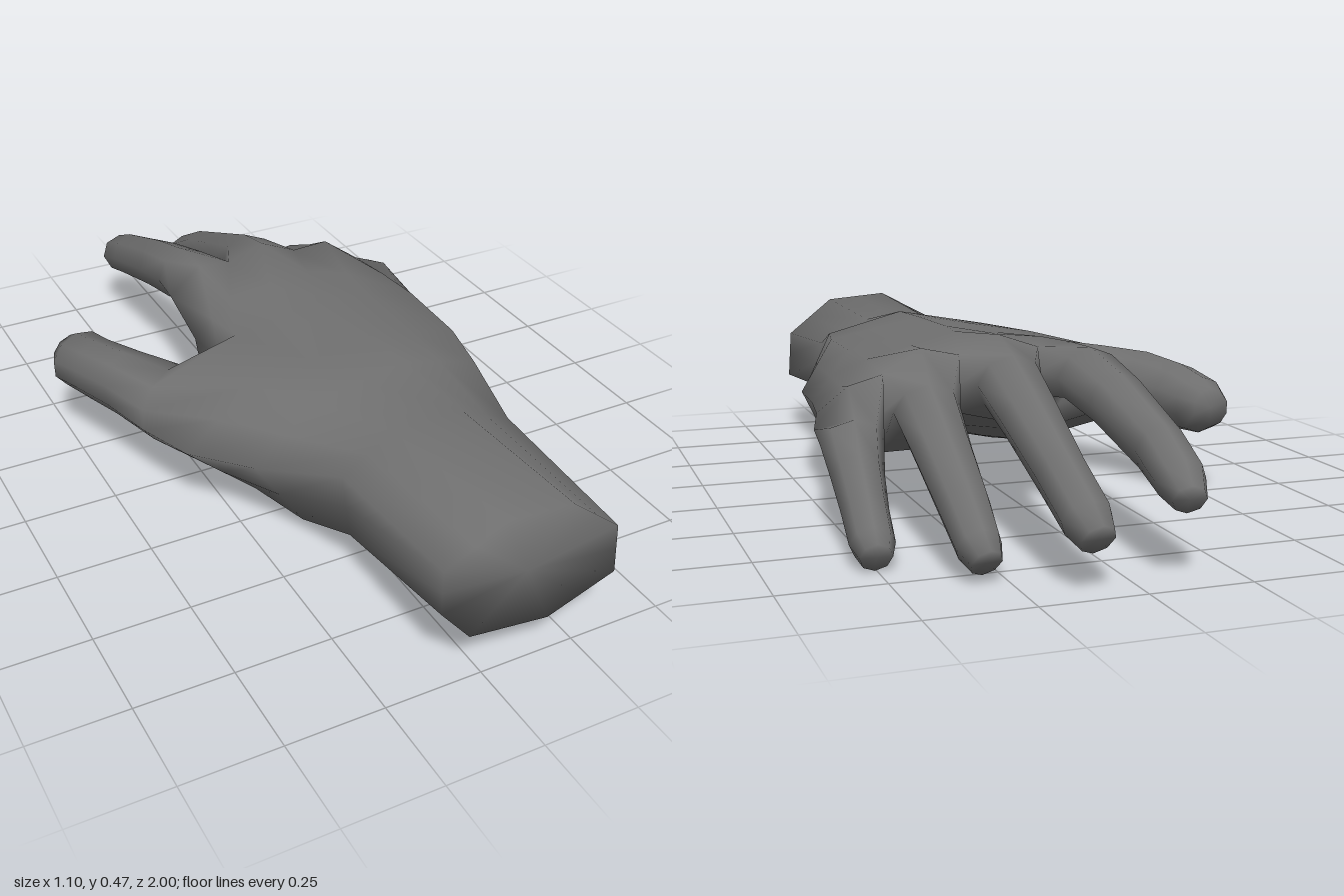
import * as THREE from 'three';

const V = (x, y, z) => new THREE.Vector3(x, y, z);

// Skins rings of Vector3; either end can be capped, and quads can be left out
function skin(rings, { capStart = false, capEnd = false, skip = () => false }) {
  const n = rings[0].length, pos = [], index = [];
  rings.forEach(r => r.forEach(p => pos.push(p.x, p.y, p.z)));
  for (let i = 0; i < rings.length - 1; i++) {
    for (let j = 0; j < n; j++) {
      if (skip(i, j)) continue;
      const a = i * n + j, b = i * n + (j + 1) % n;
      index.push(a, b, a + n, b, b + n, a + n);
    }
  }
  const cap = (i, flip) => {
    const c = V(0, 0, 0);
    rings[i].forEach(p => c.addScaledVector(p, 1 / n));
    const centre = pos.length / 3;
    pos.push(c.x, c.y, c.z);
    for (let j = 0; j < n; j++) {
      const a = i * n + j, b = i * n + (j + 1) % n;
      index.push(centre, flip ? b : a, flip ? a : b);
    }
  };
  if (capStart) cap(0, true);
  if (capEnd) cap(rings.length - 1, false);
  const g = new THREE.BufferGeometry();
  g.setAttribute('position', new THREE.Float32BufferAttribute(pos, 3));
  g.setIndex(index);
  g.computeVertexNormals();
  return g;
}

// Grows a digit from a root ring; each step is [x, y, z, halfWidth, halfHeight]
function digit(root, steps, roll = 0) {
  const pts = steps.map(s => V(s[0], s[1], s[2]));
  const rings = steps.map((s, i) => {
    const t = pts[Math.min(i + 1, pts.length - 1)].clone().sub(pts[Math.max(i - 1, 0)]).normalize();
    const side = t.clone().cross(V(0, 1, 0)).normalize();
    const up = side.clone().cross(t);
    side.applyAxisAngle(t, roll);
    up.applyAxisAngle(t, roll);
    return root.map((_, j) => {
      const a = (j / root.length) * Math.PI * 2;
      return pts[i].clone()
        .addScaledVector(side, -Math.cos(a) * s[3])
        .addScaledVector(up, Math.sin(a) * s[4]);
    });
  });
  return skin([root, ...rings], { capEnd: true });
}

// Averages normals where parts meet, so the skin shades as one surface
function weldNormals(geometries) {
  const sums = new Map();
  const each = fn => geometries.forEach(({ attributes: { position: p, normal } }) => {
    for (let i = 0; i < p.count; i++) {
      const key = [p.getX(i), p.getY(i), p.getZ(i)].map(v => Math.round(v * 1e4)).join();
      fn(key, normal, i);
    }
  });
  each((key, normal, i) => {
    if (!sums.has(key)) sums.set(key, V(0, 0, 0));
    sums.get(key).add(V(0, 0, 0).fromBufferAttribute(normal, i));
  });
  sums.forEach(s => s.normalize());
  each((key, normal, i) => normal.setXYZ(i, ...sums.get(key).toArray()));
}

// Sections: z, then x, y pairs from the thumb side over the back of the hand and under the palm
const sections = [
  [1.00, -.122, .337, .033, .42, .21, .406, .343, .30, .352, .164, .173, .096, -.04, .122, -.12, .218],
  [0.56, -.125, .30, .01, .39, .20, .395, .34, .33, .375, .21, .22, .095, .05, .105, -.10, .12],
  [0.37, -.265, .25, -.10, .395, .15, .44, .36, .385, .435, .23, .28, .047, .06, .088, -.13, .047],
  [0.22, -.38, .235, -.20, .385, .14, .443, .39, .39, .475, .25, .41, .115, .10, .115, -.19, .065],
  [0.00, -.23, .27, -.14, .40, .13, .445, .395, .393, .495, .26, .435, .148, .12, .165, -.16, .15],
  [-.14, -.195, .33, -.09, .425, .15, .45, .385, .39, .515, .26, .44, .155, .18, .21, -.08, .235],
  [-.33, -.185, .365, -.005, .43, .20, .42, .38, .375, .545, .24, .39, .18, .20, .275, -.005, .305],
];

// From the index finger to the little finger
const fingers = [
  ['indexFinger', [
    [-.098, .367, -.43, .082, .075], [-.108, .332, -.58, .073, .071], [-.115, .262, -.80, .062, .064],
    [-.112, .217, -.91, .06, .056], [-.105, .188, -.97, .04, .038]]],
  ['middleFinger', [
    [.105, .36, -.43, .082, .078], [.11, .305, -.58, .073, .071], [.12, .22, -.80, .06, .064],
    [.115, .155, -.93, .06, .056], [.11, .123, -.98, .042, .042]]],
  ['ringFinger', [
    [.303, .30, -.40, .083, .075], [.312, .238, -.54, .072, .07], [.313, .147, -.70, .062, .062],
    [.312, .08, -.80, .054, .054], [.307, .052, -.84, .038, .04]]],
  ['littleFinger', [
    [.478, .225, -.36, .077, .078], [.489, .168, -.45, .064, .07], [.496, .108, -.54, .056, .062],
    [.503, .056, -.63, .053, .052], [.505, .035, -.67, .038, .04]]],
];

const thumbSteps = [
  [-.343, .262, .02, .104, .102], [-.405, .268, -.11, .085, .096], [-.445, .26, -.22, .08, .088],
  [-.468, .25, -.315, .084, .074], [-.475, .25, -.36, .055, .05],
];

export function createModel() {
  // Each section becomes a 16-point ring: its 8 corners and the points midway between them
  const rings = sections.map(([z, ...xy]) => Array.from({ length: 16 }, (_, j) => {
    const a = j >> 1, b = ((j + 1) >> 1) % 8;
    return V((xy[2 * a] + xy[2 * b]) / 2, (xy[2 * a + 1] + xy[2 * b + 1]) / 2, z);
  }));

  // Knuckle row: set back towards the little finger, and swollen at each finger
  const knuckles = rings[6];
  knuckles.forEach((p, j) => {
    p.z += Math.max(0, p.x - 0.2) * 0.25;
    if (j % 2) p.y += j < 8 ? 0.04 : -0.04;
  });

  const parts = {};

  // Palm and wrist, open at the knuckles and where the thumb leaves
  parts.palmAndWrist = skin(rings, {
    capStart: true,
    skip: (i, j) => i === 3 && (j >= 14 || j < 2),
  });

  // Fingers grow from the knuckle row, sharing the webs between them
  fingers.forEach(([name, steps], f) => {
    const [t0, t1, t2] = [0, 1, 2].map(k => knuckles[2 * f + k]);
    const [b0, b1, b2] = [0, 1, 2].map(k => knuckles[(16 - 2 * f - k) % 16]);
    const leftWeb = t0.clone().lerp(b0, 0.5), rightWeb = t2.clone().lerp(b2, 0.5);
    parts[name] = digit([leftWeb, t0, t1, t2, rightWeb, b2, b1, b0], steps);
  });

  // Thumb grows from the opening in the side of the palm
  const [heel, web] = [rings[3], rings[4]];
  const thumbRoot = [
    heel[0], heel[1], heel[2], web[2], web[1],
    web[0], web[15], web[14], heel[14], heel[15],
  ];
  parts.thumb = digit(thumbRoot, thumbSteps, -0.35);

  weldNormals(Object.values(parts));

  const hand = new THREE.Group();
  hand.name = 'hand';
  const material = new THREE.MeshStandardMaterial({ color: 0x707070 });
  for (const [name, geometry] of Object.entries(parts)) {
    const mesh = new THREE.Mesh(geometry, material);
    mesh.name = name;
    hand.add(mesh);
  }
  return hand;
}
